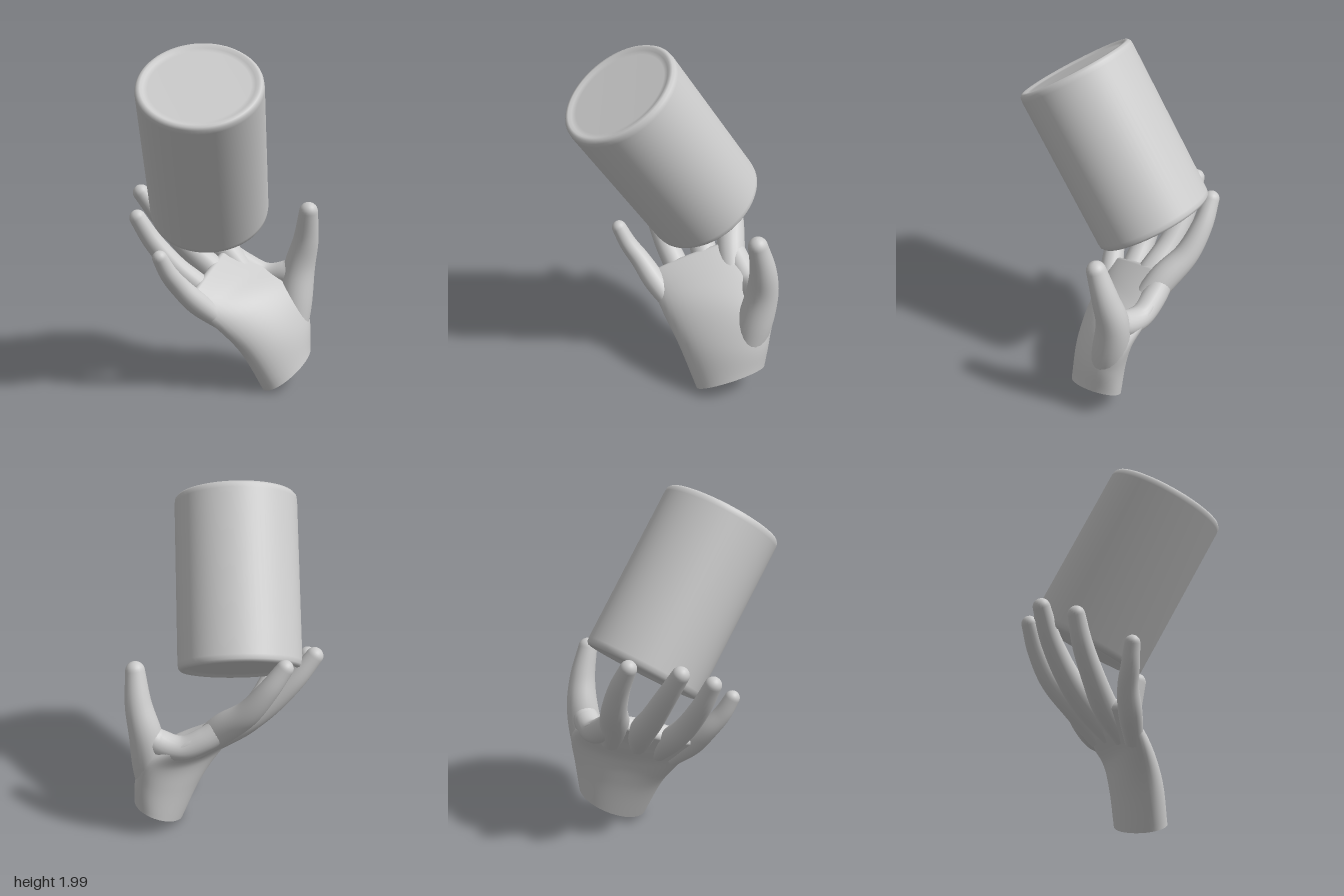
import * as THREE from 'three';

const material = new THREE.MeshStandardMaterial({ color: 0xcccccc });
const V = (p) => new THREE.Vector3(p[0], p[1], p[2]);
const smoothCurve = (points) => new THREE.CatmullRomCurve3(points.map(V), false, 'catmullrom', 0.5);

// Skin a list of closed rings (counterclockwise about the travel direction), capping both ends
function loft(rings) {
  const n = rings[0].length, pos = [], index = [];
  rings.forEach((r) => r.forEach((p) => pos.push(p.x, p.y, p.z)));
  for (let i = 0; i < rings.length - 1; i++) {
    for (let j = 0; j < n; j++) {
      const a = i * n + j, b = i * n + (j + 1) % n;
      index.push(a, b, b + n, a, b + n, a + n);
    }
  }
  // Caps have their own vertices so the rim stays crisp
  [rings[0], rings[rings.length - 1]].forEach((ring, end) => {
    const base = pos.length / 3;
    const mid = ring.reduce((s, p) => s.add(p), new THREE.Vector3()).divideScalar(n);
    ring.forEach((p) => pos.push(p.x, p.y, p.z));
    pos.push(mid.x, mid.y, mid.z);
    for (let j = 0; j < n; j++) {
      const a = base + j, b = base + (j + 1) % n;
      if (end) index.push(a, b, base + n);
      else index.push(b, a, base + n);
    }
  });
  const g = new THREE.BufferGeometry();
  g.setAttribute('position', new THREE.Float32BufferAttribute(pos, 3));
  g.setIndex(index);
  g.computeVertexNormals();
  return g;
}

// Oval ring around a centre
function ovalRing(c, u, v, n) {
  return Array.from({ length: n }, (_, j) => {
    const a = (j / n) * Math.PI * 2;
    return c.clone().addScaledVector(u, Math.cos(a)).addScaledVector(v, Math.sin(a));
  });
}

// Smooth interpolation of a short list of numbers
const sample = (values, t) => smoothCurve(values.map((r) => [r, 0, 0])).getPoint(t).x;

// Tapered limb along a curve with a rounded tip
function limb(points, radii) {
  const curve = smoothCurve(points);
  const rings = [], steps = 28;
  const ringAt = (c, d, r) => {
    const u = new THREE.Vector3(0, 0, 1).addScaledVector(d, -d.z).normalize();
    rings.push(ovalRing(c, u.clone().multiplyScalar(r), d.clone().cross(u).multiplyScalar(r), 22));
  };
  for (let i = 0; i <= steps; i++) {
    const t = i / steps;
    ringAt(curve.getPoint(t), curve.getTangent(t), sample(radii, t));
  }
  const end = curve.getPoint(1), d = curve.getTangent(1), r = radii[radii.length - 1];
  for (let i = 1; i <= 7; i++) {
    const a = (i / 7) * Math.PI * 0.495;
    ringAt(end.clone().addScaledVector(d, r * Math.sin(a)), d, r * Math.cos(a));
  }
  return loft(rings);
}

// Wrist and palm lofted between the little-finger edge and the thumb edge
function palm() {
  const a = smoothCurve([[0.208, 0.02, 0.092], [0.07, 0.25, 0.1], [-0.07, 0.405, 0.1], [-0.17, 0.5, 0.085], [-0.24, 0.565, 0.068]]);
  const b = smoothCurve([[0.48, 0.18, -0.182], [0.49, 0.36, -0.205], [0.455, 0.53, -0.26], [0.28, 0.64, -0.33], [0.06, 0.755, -0.37]]);
  const half = [0.13, 0.128, 0.105, 0.078, 0.052];
  const mid = (t) => a.getPoint(t).add(b.getPoint(t)).multiplyScalar(0.5);
  const rings = [], steps = 32;
  for (let i = 0; i <= steps; i++) {
    const t = i / steps;
    const u = b.getPoint(t).sub(a.getPoint(t)).multiplyScalar(0.5);
    // The wrist is cut square; further on the sections follow the palm
    const d = mid(Math.min(1, t + 0.03)).sub(mid(Math.max(0, t - 0.03))).normalize();
    d.lerp(V([-0.52, 0.85, 0]), Math.max(0, 1 - 4 * t)).normalize();
    const v = d.cross(u).normalize().multiplyScalar(sample(half, t));
    rings.push(ovalRing(mid(t), u, v, 40));
  }
  // Rounded edge at the knuckles
  const c = mid(1), d = mid(1).sub(mid(0.95)).normalize();
  const last = rings[rings.length - 1];
  for (let i = 1; i <= 6; i++) {
    const s = (i / 6) * Math.PI * 0.48;
    rings.push(last.map((p) => c.clone().lerp(p, 0.35 + 0.65 * Math.cos(s)).addScaledVector(d, 0.025 * Math.sin(s))));
  }
  return loft(rings);
}

// Solid cylinder with soft rims and slightly sunken ends
function canister(length, r) {
  const h = length / 2;
  const halfProfile = [[0, h - 0.015], [r - 0.07, h - 0.015], [r - 0.045, h - 0.01], [r - 0.03, h],
    [r - 0.014, h - 0.003], [r - 0.003, h - 0.016], [r, h - 0.04]];
  const bottom = halfProfile.map(([x, y]) => new THREE.Vector2(x, -y));
  const top = halfProfile.map(([x, y]) => new THREE.Vector2(x, y)).reverse();
  return new THREE.LatheGeometry([...bottom, ...top], 72);
}

export function createModel() {
  const model = new THREE.Group();
  model.name = 'handWithCanister';
  const add = (name, geometry, parent) => {
    const mesh = new THREE.Mesh(geometry, material);
    mesh.name = name;
    parent.add(mesh);
    return mesh;
  };

  // Tilted canister above the palm
  const low = V([-0.078, 1.015, -0.238]), high = V([-0.202, 1.82, 0.284]);
  const can = add('canister', canister(low.distanceTo(high), 0.338), model);
  can.position.copy(low).lerp(high, 0.5);
  can.quaternion.setFromUnitVectors(new THREE.Vector3(0, 1, 0), high.clone().sub(low).normalize());

  // Open hand, with each digit rooted inside the palm
  const hand = new THREE.Group();
  hand.name = 'hand';
  model.add(hand);
  add('palm', palm(), hand);

  const digits = {
    thumb: [[[0.385, 0.2, -0.1], [0.41, 0.44, -0.155], [0.44, 0.66, -0.182], [0.47, 0.84, -0.152], [0.472, 1.02, -0.102]],
      [0.07, 0.1, 0.092, 0.074, 0.054]],
    // Skin stretched from the thumb to the first knuckle
    thumbWeb: [[[0.45, 0.7, -0.185], [0.375, 0.625, -0.215], [0.26, 0.605, -0.275], [0.14, 0.66, -0.31], [0.03, 0.74, -0.335]],
      [0.06, 0.075, 0.068, 0.07, 0.065]],
    indexFinger: [[[0.17, 0.56, -0.22], [0.045, 0.72, -0.325], [-0.06, 0.85, -0.43], [-0.155, 1.0, -0.488], [-0.24, 1.13, -0.508]],
      [0.065, 0.082, 0.07, 0.058, 0.046]],
    middleFinger: [[[0.06, 0.53, -0.12], [-0.07, 0.67, -0.222], [-0.21, 0.80, -0.29], [-0.35, 0.96, -0.338], [-0.46, 1.105, -0.353]],
      [0.06, 0.076, 0.068, 0.058, 0.048]],
    ringFinger: [[[-0.01, 0.48, -0.03], [-0.16, 0.605, -0.085], [-0.29, 0.72, -0.108], [-0.415, 0.87, -0.132], [-0.5, 1.01, -0.14]],
      [0.055, 0.07, 0.064, 0.056, 0.047]],
    littleFinger: [[[-0.05, 0.435, 0.04], [-0.185, 0.55, 0.06], [-0.285, 0.655, 0.078], [-0.355, 0.75, 0.112], [-0.405, 0.85, 0.138]],
      [0.05, 0.064, 0.057, 0.05, 0.042]],
  };
  for (const [name, [points, radii]] of Object.entries(digits)) add(name, limb(points, radii), hand);

  return model;
}
